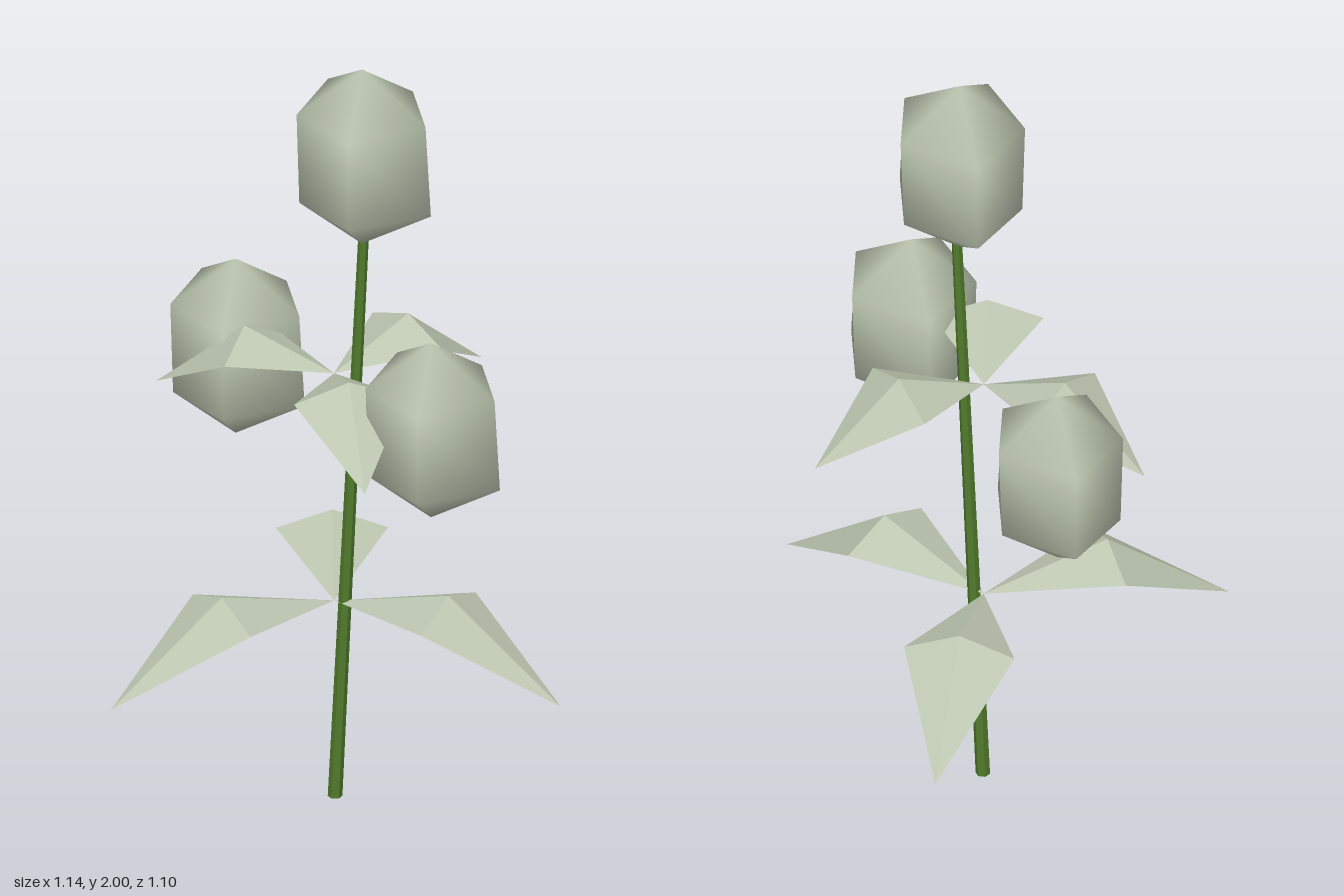
import * as THREE from 'three';

const sage = new THREE.MeshStandardMaterial({ color: 0xbcc6b0 });
sage.name = 'sage';
const sageLeaf = new THREE.MeshStandardMaterial({ color: 0xbcc6b0, flatShading: true, side: THREE.DoubleSide });
sageLeaf.name = 'sage leaf';
const green = new THREE.MeshStandardMaterial({ color: 0x527a2c, flatShading: true });
green.name = 'stem green';

function buildGeometry(points, index) {
  const g = new THREE.BufferGeometry();
  g.setAttribute('position', new THREE.Float32BufferAttribute(points.flat(), 3));
  g.setIndex(index);
  g.computeVertexNormals();
  return g;
}

// Five-sided bud: two slightly uneven rings closed by a top and bottom point
function budGeometry() {
  const upper = [[-0.155, -0.117], [0.06, -0.157], [0.183, 0], [0.068, 0.18], [-0.126, 0.093]];
  const lower = [[-0.15, -0.11], [0.055, -0.15], [0.198, 0], [0.06, 0.165], [-0.12, 0.09]];
  const points = [
    ...upper.map(([x, z]) => [x, 0.36, z]),
    ...lower.map(([x, z]) => [x, 0.12, z]),
    [0.005, 0.475, 0], [0.005, 0, 0],
  ];
  const index = [];
  for (let i = 0; i < 5; i++) {
    const j = (i + 1) % 5;
    index.push(10, j, i, i, j, i + 5, j, j + 5, i + 5, 11, i + 5, j + 5);
  }
  return buildGeometry(points, index);
}

// Folded leaf pointing along +x: base, two corners, raised fold, drooping tip
function leafGeometry(length, droop) {
  const mid = length * 0.504, w = 0.137;
  const points = [[0, 0, 0], [mid, 0.04, w], [mid, 0.04, -w], [mid, 0.09, 0], [length, -droop, 0]];
  return buildGeometry(points, [0, 1, 3, 0, 3, 2, 1, 4, 3, 3, 4, 2]);
}

// Three leaves spread evenly around the stem
function leafWhorl(name, y, length, droop, startDegrees) {
  const whorl = new THREE.Group();
  whorl.name = name;
  whorl.position.set(-0.073, y, 0);
  const geometry = leafGeometry(length, droop);
  for (let i = 0; i < 3; i++) {
    const leaf = new THREE.Mesh(geometry, sageLeaf);
    leaf.name = 'leaf';
    leaf.rotation.y = -THREE.MathUtils.degToRad(startDegrees + i * 120);
    whorl.add(leaf);
  }
  return whorl;
}

export function createModel() {
  const model = new THREE.Group();
  model.name = 'budding plant';

  // Leaning, tapered stem
  const stemGeometry = new THREE.CylinderGeometry(0.013, 0.018, 1.56, 6);
  stemGeometry.translate(0, 0.78, 0);
  const p = stemGeometry.attributes.position;
  for (let i = 0; i < p.count; i++) {
    const t = p.getY(i) / 1.56;
    p.setX(i, p.getX(i) - 0.07 + 0.074 * t);
    p.setZ(i, p.getZ(i) - 0.012 * t);
  }
  stemGeometry.computeVertexNormals();
  const stem = new THREE.Mesh(stemGeometry, green);
  stem.name = 'stem';
  model.add(stem);

  // Buds
  const bud = budGeometry();
  const places = { topBud: [0, 1.525, 0], rightBud: [-0.42, 0.855, -0.12], leftBud: [0.26, 0.893, 0.12] };
  for (const [name, position] of Object.entries(places)) {
    const mesh = new THREE.Mesh(bud, sage);
    mesh.name = name;
    mesh.position.set(...position);
    model.add(mesh);
  }

  // Leaves
  model.add(leafWhorl('lowerLeaves', 0.532, 0.635, 0.137, 0));
  model.add(leafWhorl('upperLeaves', 1.152, 0.465, 0.102, 51.6));
  return model;
}
